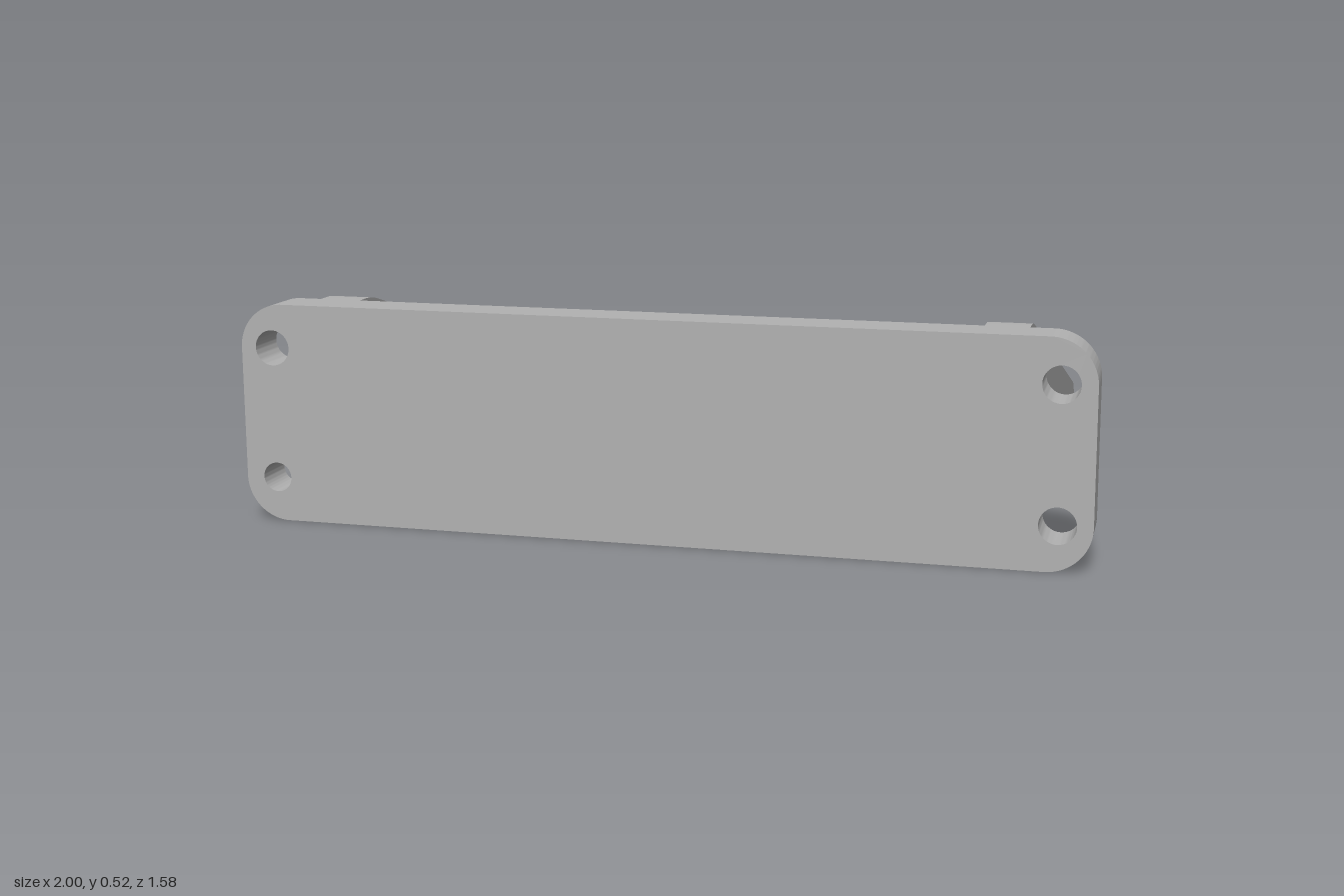
import * as THREE from 'three';
import { toCreasedNormals } from 'three/addons/utils/BufferGeometryUtils.js';

const HEIGHT = 0.522, FLOOR = 0.104;
const WALL_IN = 0.742, WALL_OUT = 0.842;
const FRONT = 0.79, PLATE_BACK = 0.685, LIP = 0.76;

function extrude(shape, depth) {
  return new THREE.ExtrudeGeometry(shape, { depth, bevelEnabled: false, curveSegments: 32 });
}

function drill(shape, x, y, r) {
  shape.holes.push(new THREE.Path().absarc(x, y, r, 0, Math.PI * 2, true));
}

export function createModel() {
  const group = new THREE.Group();
  const grey = new THREE.MeshStandardMaterial({ color: 0xb2b2b2 });
  grey.name = 'grey';
  const add = (name, geometry) => {
    const mesh = new THREE.Mesh(toCreasedNormals(geometry, 0.25), grey);
    mesh.name = name;
    group.add(mesh);
  };

  // Front mounting plate with rounded corners and four screw holes
  const r = 0.105;
  const plate = new THREE.Shape();
  plate.absarc(1 - r, r, r, -Math.PI / 2, 0);
  plate.absarc(1 - r, HEIGHT - r, r, 0, Math.PI / 2);
  plate.absarc(r - 1, HEIGHT - r, r, Math.PI / 2, Math.PI);
  plate.absarc(r - 1, r, r, Math.PI, Math.PI * 1.5);
  drill(plate, 0.922, 0.418, 0.042);
  drill(plate, -0.922, 0.418, 0.042);
  drill(plate, 0.922, 0.105, 0.042);
  drill(plate, -0.922, 0.105, 0.035);
  add('frontPlate', extrude(plate, FRONT - PLATE_BACK).translate(0, 0, PLATE_BACK));

  // Sloping side walls, profile drawn with -z as its horizontal axis
  const wall = new THREE.Shape();
  wall.moveTo(-PLATE_BACK, 0);
  wall.lineTo(0.79, 0);
  wall.absarc(0.69, 0.033, 0.1, 0, 1.285);
  wall.lineTo(-0.58, 0.511);
  wall.quadraticCurveTo(-0.619, HEIGHT, -0.65, HEIGHT);
  wall.lineTo(-PLATE_BACK, HEIGHT);
  for (const [name, x] of [['leftWall', WALL_IN], ['rightWall', -WALL_OUT]]) {
    add(name, extrude(wall, WALL_OUT - WALL_IN).rotateY(Math.PI / 2).translate(x, 0, 0));
  }

  // Floor with octagonal opening and four screw holes, drawn in x and -z
  const floor = new THREE.Shape();
  floor.moveTo(-WALL_IN, -PLATE_BACK);
  floor.lineTo(WALL_IN, -PLATE_BACK);
  floor.lineTo(WALL_IN, LIP);
  floor.lineTo(-WALL_IN, LIP);
  floor.closePath();
  const opening = [
    [0.283, -0.64], [0.695, -0.228], [0.695, 0.34], [0.283, 0.753],
    [-0.283, 0.753], [-0.695, 0.34], [-0.695, -0.228], [-0.283, -0.64],
  ];
  floor.holes.push(new THREE.Path(opening.map(([x, y]) => new THREE.Vector2(x, y))));
  for (const x of [-0.564, 0.564]) {
    for (const y of [-0.508, 0.618]) drill(floor, x, y, 0.053);
  }
  add('floor', extrude(floor, FLOOR).rotateX(-Math.PI / 2));

  // Rounded back edge of the floor
  const lip = new THREE.Shape();
  lip.moveTo(LIP, 0);
  lip.lineTo(0.79, 0);
  lip.absarc(0.69, 0.033, 0.1, 0, Math.acos(0.7));
  lip.lineTo(LIP, FLOOR);
  add('backLip', extrude(lip, WALL_IN * 2).rotateY(Math.PI / 2).translate(-WALL_IN, 0, 0));

  return group;
}
